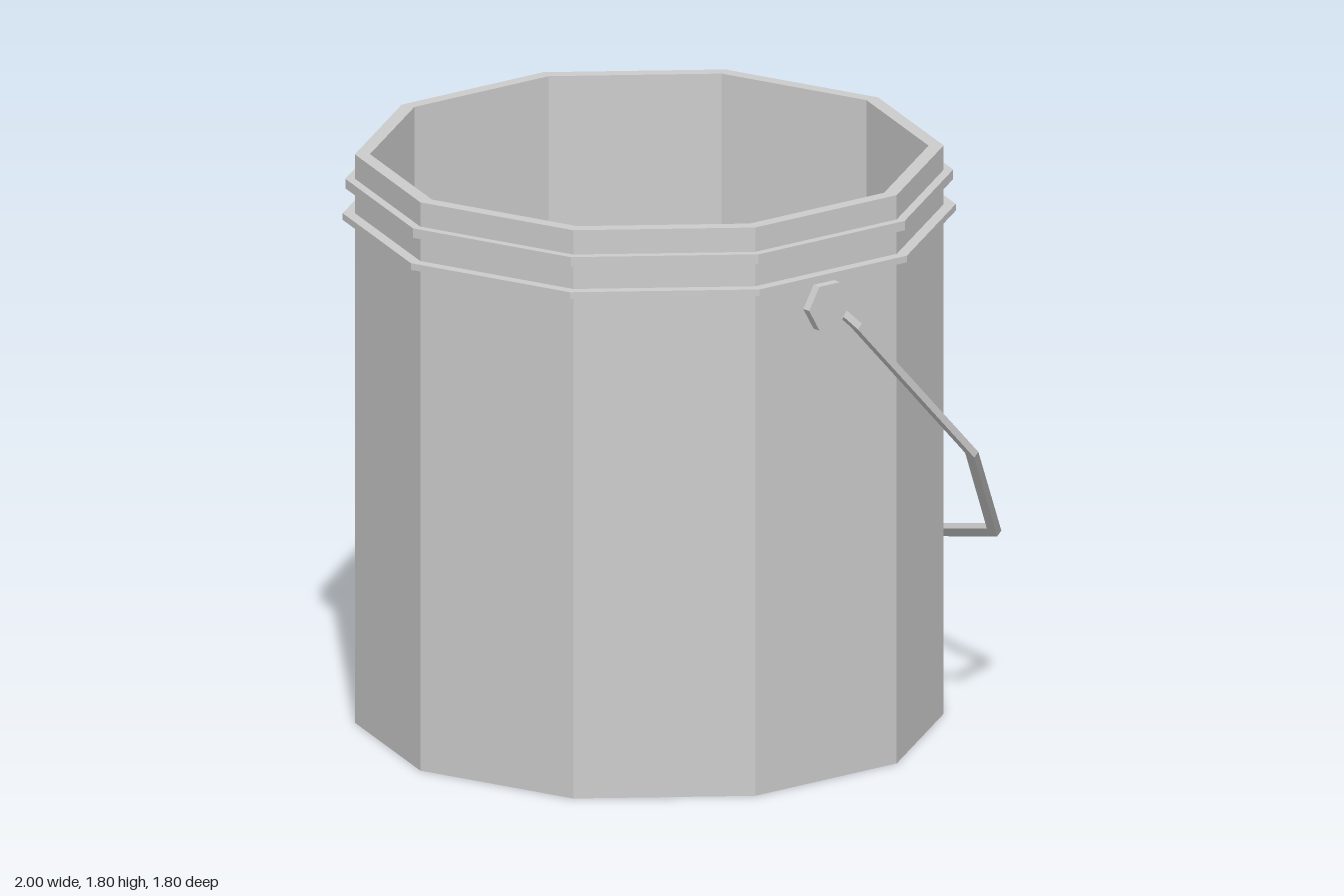
import * as THREE from 'three';

const SIDES = 10;
const AXIS_X = -0.067; // bucket axis, offset to make room for the swung handle

export function createModel() {
  const group = new THREE.Group();
  const material = new THREE.MeshStandardMaterial({ color: 0xcccccc, flatShading: true });

  const add = (name, geometry) => {
    const mesh = new THREE.Mesh(geometry, material);
    mesh.name = name;
    group.add(mesh);
    return mesh;
  };

  // Ten-sided solid of revolution from [radius, y] pairs, corners on the x axis
  const turned = (name, profile) => {
    const points = profile.map(([r, y]) => new THREE.Vector2(r, y));
    const mesh = add(name, new THREE.LatheGeometry(points, SIDES, Math.PI / 2));
    mesh.position.x = AXIS_X;
    return mesh;
  };

  // Open bucket: recessed underside, outer wall, rim, inner wall, floor
  turned('bucketBody', [
    [0, 0.1], [0.888, 0.1], [0.89, 0], [0.896, 0],
    [0.896, 1.8], [0.85, 1.8], [0.85, 0.13], [0, 0.13],
  ]);

  // Two reinforcing bands below the rim
  const band = (name, radius, y0, y1) =>
    turned(name, [[0.88, y0], [radius, y0], [radius, y1], [0.88, y1]]);
  band('upperBand', 0.925, 1.693, 1.723);
  band('lowerBand', 0.933, 1.593, 1.614);

  // Hexagonal handle boss on the front wall
  const boss = new THREE.CylinderGeometry(0.08, 0.08, 0.05, 6, 1, false, Math.PI / 2);
  boss.rotateX(Math.PI / 2);
  add('handleBoss', boss).position.set(-0.076, 1.507, 0.856);

  // Handle: flat angular hoop; half outlines as [distance from pivot, z]
  const outer = [[-0.01, 0.86], [0.11, 0.902], [0.78, 0.902], [1.32, 0.56], [1.53, 0]];
  const inner = [[-0.01, 0.825], [0.11, 0.868], [0.768, 0.868], [1.288, 0.537], [1.49, 0]];
  const mirrored = (half) => [
    ...half,
    ...half.slice(0, -1).reverse().map(([s, z]) => [s, -z]),
  ];
  const outline = [...mirrored(outer), ...mirrored(inner).reverse()];
  const shape = new THREE.Shape(outline.map(([s, z]) => new THREE.Vector2(s, z)));
  const thickness = 0.022;
  const hoop = new THREE.ExtrudeGeometry(shape, { depth: thickness, bevelEnabled: false });
  hoop.translate(0, 0, -thickness / 2);

  // Swing the hoop down toward +x about the pivot
  const along = new THREE.Vector3(0.681, -0.733, 0).normalize();
  const across = new THREE.Vector3(0, 0, 1);
  const normal = new THREE.Vector3().crossVectors(along, across);
  hoop.applyMatrix4(new THREE.Matrix4().makeBasis(along, across, normal));
  add('handle', hoop).position.set(-0.05, 1.51, 0);

  return group;
}
